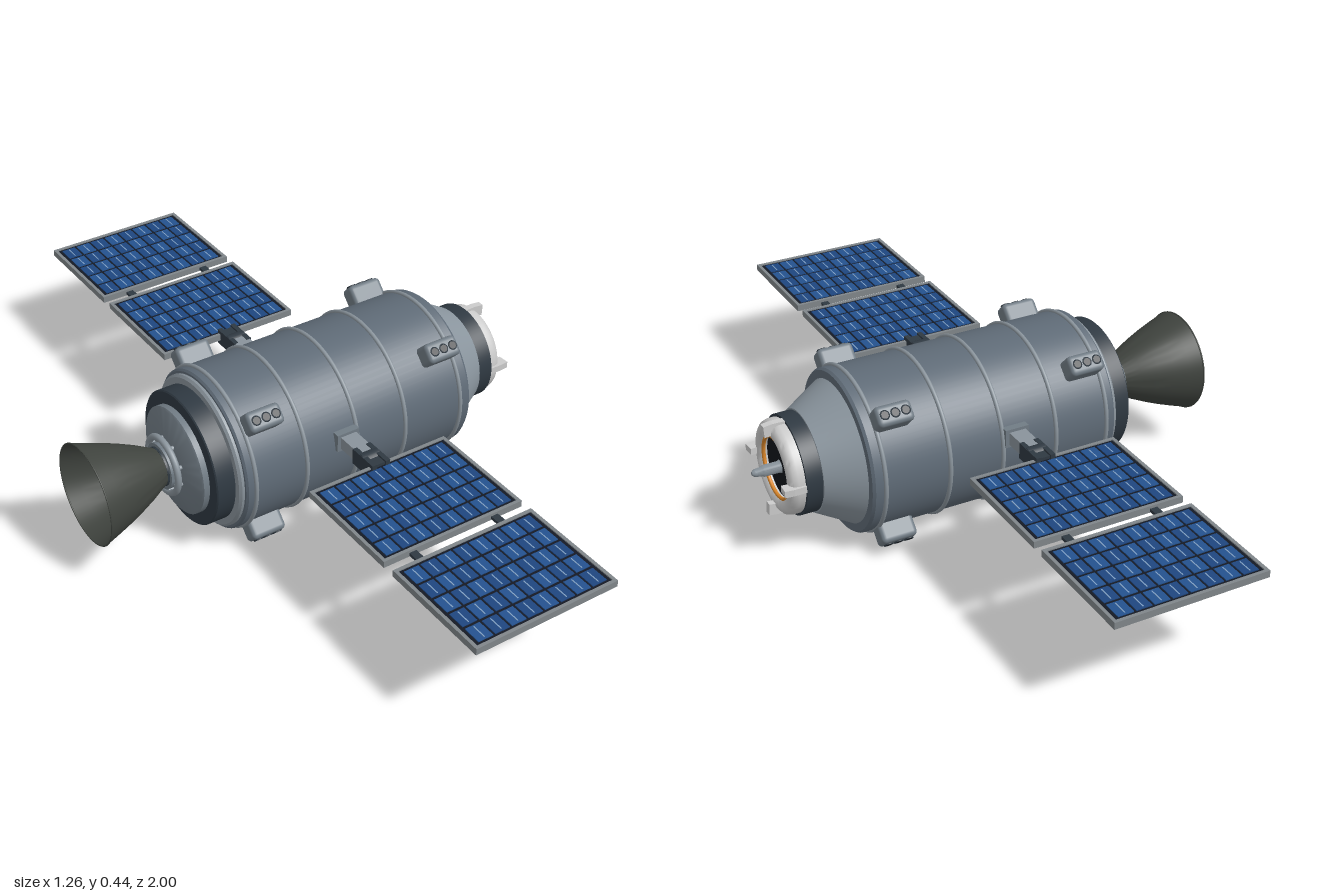
import * as THREE from 'three';
import { mergeGeometries, toCreasedNormals } from 'three/addons/utils/BufferGeometryUtils.js';
import { RoundedBoxGeometry } from 'three/addons/geometries/RoundedBoxGeometry.js';

const mat = (color, side = THREE.FrontSide) => new THREE.MeshStandardMaterial({ color, side });
const M = {
  hull: mat(0x5f6b77), trim: mat(0x89939b), cone: mat(0x8b969f), dark: mat(0x2f3942),
  pod: mat(0x717c85), white: mat(0xd4d6d6), black: mat(0x11151a), orange: mat(0xd9862b),
  bell: mat(0x40443f, THREE.DoubleSide), frame: mat(0x80868a), backing: mat(0x141924),
  cell: mat(0x24528f), cellAlt: mat(0x1e4680), bus: mat(0x7f9fc4),
};

function add(parent, name, geo, material, x = 0, y = 0, z = 0) {
  const mesh = new THREE.Mesh(geo, material);
  mesh.name = name;
  mesh.position.set(x, y, z);
  parent.add(mesh);
  return mesh;
}

// Turned part about the x axis; points are [x, radius], running towards +x
function turned(parent, name, pts, material, segments = 64) {
  const geo = new THREE.LatheGeometry(pts.map(([x, r]) => new THREE.Vector2(r, x)), segments);
  geo.rotateZ(-Math.PI / 2);
  return add(parent, name, toCreasedNormals(geo, 0.6), material);
}

function ring(parent, name, x, radius, tube, material) {
  const geo = new THREE.TorusGeometry(radius, tube, 10, 64).rotateY(Math.PI / 2);
  return add(parent, name, geo, material, x);
}

function box(w, h, d, x, y, z) {
  return new THREE.BoxGeometry(w, h, d).translate(x, y, z);
}

// Thruster pod, built pointing up, with three nozzles on its outer face
function thrusterPod() {
  const pod = new THREE.Group();
  pod.name = 'thrusterPod';
  add(pod, 'podHousing', new RoundedBoxGeometry(0.097, 0.065, 0.054, 3, 0.012), M.pod, 0, 0.231, 0);
  for (const x of [-0.028, 0, 0.028]) {
    add(pod, 'podNozzle', new THREE.CylinderGeometry(0.011, 0.011, 0.006, 16), M.black, x, 0.263, 0);
    add(pod, 'podNozzleRim', new THREE.TorusGeometry(0.011, 0.002, 6, 16).rotateX(Math.PI / 2), M.dark, x, 0.265, 0);
  }
  return pod;
}

// One framed solar panel, centred on its own origin
function solarPanel() {
  const panel = new THREE.Group();
  panel.name = 'solarPanel';
  const W = 0.405, D = 0.308, cols = 8, rows = 5, f = 0.009;
  add(panel, 'panelBacking', new THREE.BoxGeometry(W - f, 0.012, D - f), M.backing);
  add(panel, 'panelFrame', mergeGeometries([
    ...[-1, 1].map(s => box(W, 0.018, f, 0, 0, s * (D - f) / 2)),
    ...[-1, 1].map(s => box(f, 0.018, D - 2 * f, s * (W - f) / 2, 0, 0)),
  ]), M.frame);
  const cw = (W - 0.032) / cols, cd = (D - 0.026) / rows;
  const cells = [[], []], bars = [];
  for (let i = 0; i < cols; i++) {
    for (let j = 0; j < rows; j++) {
      const x = (i - (cols - 1) / 2) * cw, z = (j - (rows - 1) / 2) * cd;
      cells[(i + j) % 2].push(box(cw - 0.006, 0.003, cd - 0.008, x, 0.0068, z));
      bars.push(box(0.003, 0.001, cd - 0.018, x, 0.0086, z));
    }
  }
  add(panel, 'solarCells', mergeGeometries(cells[0]), M.cell);
  add(panel, 'solarCellsAlternate', mergeGeometries(cells[1]), M.cellAlt);
  add(panel, 'cellContacts', mergeGeometries(bars), M.bus);
  return panel;
}

// Arm, hinge and two panels reaching out along +z
function solarWing() {
  const wing = new THREE.Group();
  wing.name = 'solarWing';
  add(wing, 'wingArm', new THREE.BoxGeometry(0.046, 0.034, 0.12), M.trim, 0, 0, 0.25);
  add(wing, 'armFoot', new THREE.BoxGeometry(0.065, 0.05, 0.02), M.pod, 0, 0, 0.213);
  for (const s of [-1, 1])
    add(wing, 'hingeFork', new THREE.BoxGeometry(0.013, 0.044, 0.085), M.dark, s * 0.02, -0.003, 0.322);
  add(wing, 'hingeBlock', new THREE.BoxGeometry(0.03, 0.034, 0.05), M.dark, 0, -0.003, 0.335);
  const pin = new THREE.CylinderGeometry(0.024, 0.024, 0.05, 24).rotateZ(Math.PI / 2);
  add(wing, 'hingePin', pin, M.dark, 0, -0.003, 0.315);
  for (const z of [0.504, 0.846]) {
    const panel = solarPanel();
    panel.position.z = z;
    wing.add(panel);
  }
  for (const x of [-0.12, 0.12])
    add(wing, 'panelLink', new THREE.BoxGeometry(0.02, 0.008, 0.04), M.dark, x, -0.002, 0.675);
  return wing;
}

export function createModel() {
  const model = new THREE.Group();
  model.name = 'spacecraft';
  const craft = new THREE.Group();
  craft.name = 'craft';
  craft.position.y = 0.225;
  model.add(craft);

  // Main hull with its bands
  turned(craft, 'hull', [[-0.295, 0], [-0.295, 0.21], [-0.29, 0.215], [0.388, 0.215],
    [0.395, 0.21], [0.395, 0]], M.hull, 80);
  for (const x of [-0.268, -0.118, 0.035, 0.184, 0.361]) ring(craft, 'hullBand', x, 0.216, 0.006, M.trim);

  // Tapered nose and docking collar
  turned(craft, 'noseCone', [[0.39, 0], [0.39, 0.192], [0.398, 0.187], [0.49, 0.135], [0.49, 0]], M.cone);
  turned(craft, 'dockingCollar', [[0.485, 0], [0.485, 0.131], [0.533, 0.131], [0.533, 0]], M.dark);
  turned(craft, 'dockingRing', [[0.53, 0.08], [0.53, 0.124], [0.55, 0.124], [0.562, 0.12], [0.569, 0.112],
    [0.572, 0.102], [0.57, 0.092], [0.564, 0.085], [0.53, 0.08]], M.white);
  ring(craft, 'dockingSeal', 0.56, 0.082, 0.005, M.orange);
  turned(craft, 'dockingHatch', [[0.53, 0.082], [0.55, 0.082], [0.55, 0]], M.black);
  turned(craft, 'dockingProbe', [[0.545, 0.02], [0.555, 0.015], [0.595, 0.015], [0.6, 0.012],
    [0.618, 0.01], [0.625, 0.005], [0.626, 0]], M.trim, 24);
  for (let i = 0; i < 4; i++) {
    const petal = new THREE.Group();
    petal.name = 'dockingPetal';
    petal.rotation.x = i * Math.PI / 2;
    const shape = new THREE.Shape([[0.53, 0.115], [0.556, 0.1], [0.588, 0.097], [0.59, 0.128], [0.565, 0.131],
      [0.53, 0.13]].map(p => new THREE.Vector2(...p)));
    const geo = new THREE.ExtrudeGeometry(shape, { depth: 0.018, bevelEnabled: false }).translate(0, 0, -0.009);
    add(petal, 'petalBlade', geo, M.white);
    craft.add(petal);
  }

  // Stepped rear section
  turned(craft, 'rearRing', [[-0.308, 0], [-0.308, 0.198], [-0.302, 0.204], [-0.29, 0.204]], M.trim);
  turned(craft, 'rearDrum', [[-0.36, 0], [-0.36, 0.178], [-0.357, 0.181], [-0.3, 0.181]], M.dark);
  turned(craft, 'rearPlate', [[-0.395, 0], [-0.395, 0.06], [-0.38, 0.14], [-0.376, 0.145], [-0.355, 0.145]], M.pod);

  // Engine mount and bell
  turned(craft, 'engineNeck', [[-0.425, 0], [-0.425, 0.052], [-0.385, 0.058]], M.dark, 40);
  turned(craft, 'engineFlange', [[-0.42, 0], [-0.42, 0.062], [-0.402, 0.062], [-0.402, 0]], M.pod, 40);
  ring(craft, 'engineFlangeRim', -0.409, 0.075, 0.009, M.trim);
  for (let i = 0; i < 8; i++) {
    const a = (i + 0.5) * Math.PI / 4;
    const strut = add(craft, 'engineStrut', new THREE.CylinderGeometry(0.006, 0.006, 0.036, 8), M.trim,
      -0.395, Math.cos(a) * 0.068, Math.sin(a) * 0.068);
    strut.rotation.z = Math.PI / 2;
  }
  const bell = [[-0.63, 0.135], [-0.59, 0.122], [-0.55, 0.108], [-0.51, 0.092], [-0.47, 0.074],
    [-0.44, 0.058], [-0.415, 0.046]];
  turned(craft, 'engineBell', bell, M.bell);
  ring(craft, 'bellLip', -0.628, 0.134, 0.002, M.bell);

  // Thruster pods on the diagonals
  for (const x of [-0.22, 0.318]) {
    for (let i = 0; i < 4; i++) {
      const pod = thrusterPod();
      pod.position.x = x;
      pod.rotation.x = (i + 0.5) * Math.PI / 2;
      craft.add(pod);
    }
  }

  // Solar wings on both sides
  for (const side of [0, Math.PI]) {
    const wing = solarWing();
    wing.position.y = 0.048;
    wing.rotation.y = side;
    craft.add(wing);
  }
  return model;
}
